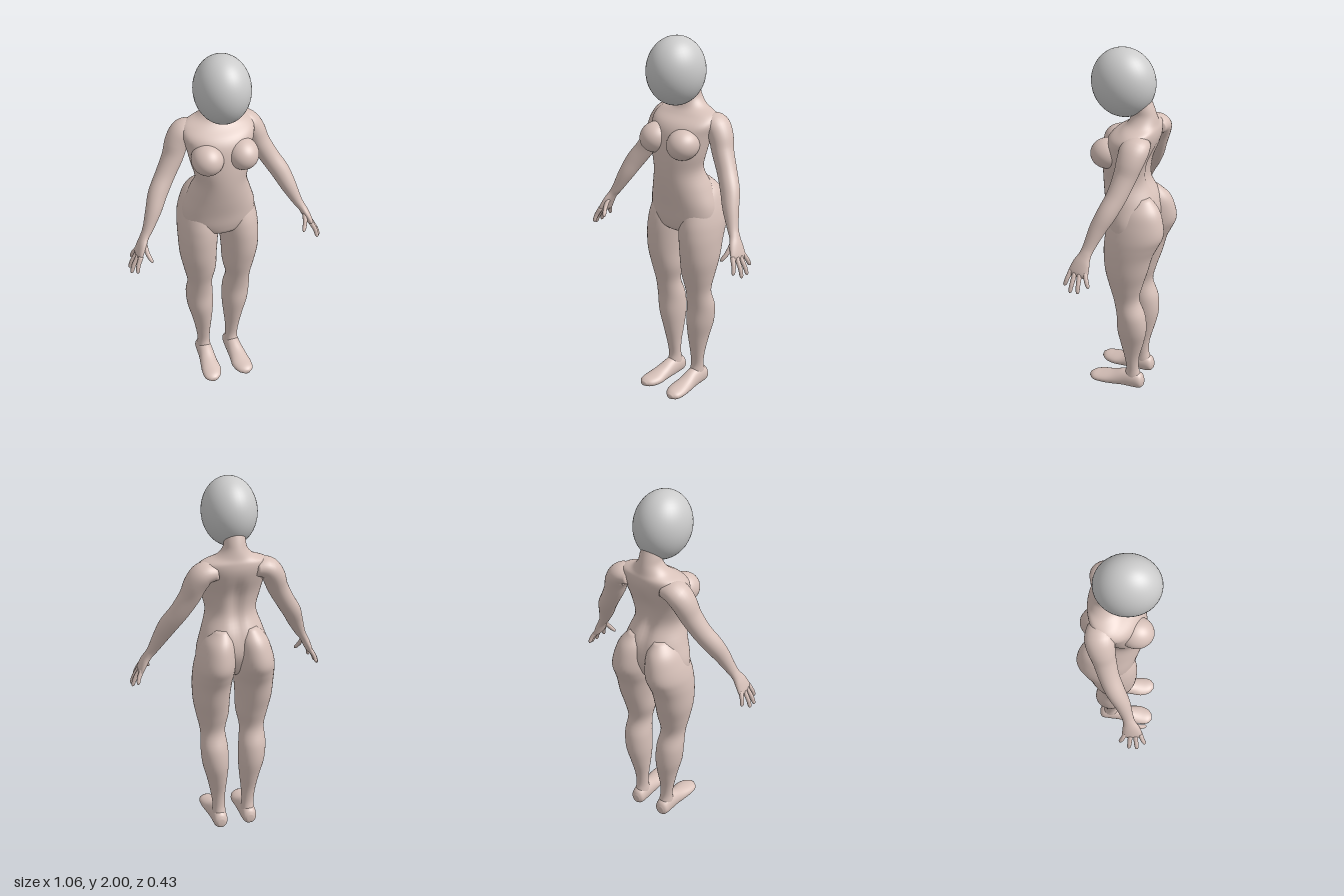
import * as THREE from 'three';

const skin = new THREE.MeshStandardMaterial({ color: 0xd8c2ba });
const grey = new THREE.MeshStandardMaterial({ color: 0xcccccc });
const X = new THREE.Vector3(1, 0, 0), Y = new THREE.Vector3(0, 1, 0), Z = new THREE.Vector3(0, 0, 1);

// Smooth closed loft through rows of [x, y, z, radiusA, radiusB].
// axes: fixed ring axes [a, b]; when absent the rings stay square to the path.
function loft(name, rows, { axes, sides = 32, sub = 5, shape } = {}) {
  const path = new THREE.CatmullRomCurve3(rows.map(r => new THREE.Vector3(r[0], r[1], r[2])), false, 'catmullrom');
  const radii = new THREE.CatmullRomCurve3(rows.map(r => new THREE.Vector3(r[3], r[4], 0)), false, 'catmullrom');
  const rings = (rows.length - 1) * sub;
  const pos = [], idx = [];
  for (let i = 0; i <= rings; i++) {
    const c = path.getPoint(i / rings), r = radii.getPoint(i / rings);
    let a, b;
    if (axes) [a, b] = axes;
    else {
      const t = path.getTangent(i / rings);
      b = Z.clone().addScaledVector(t, -Z.dot(t)).normalize();
      a = b.clone().cross(t);
    }
    for (let j = 0; j < sides; j++) {
      const th = j / sides * Math.PI * 2;
      const p = c.clone().addScaledVector(a, r.x * Math.cos(th)).addScaledVector(b, r.y * Math.sin(th));
      if (shape) shape(p);
      pos.push(p.x, p.y, p.z);
      if (i < rings) {
        const k = (j + 1) % sides, o = i * sides;
        idx.push(o + j, o + k, o + sides + k, o + j, o + sides + k, o + sides + j);
      }
    }
  }
  // end caps
  const n = pos.length / 3, last = rings * sides;
  for (const u of [0, 1]) {
    const p = path.getPoint(u);
    if (shape) shape(p);
    pos.push(p.x, p.y, p.z);
  }
  for (let j = 0; j < sides; j++) {
    const k = (j + 1) % sides;
    idx.push(n, k, j, n + 1, last + j, last + k);
  }
  const g = new THREE.BufferGeometry();
  g.setAttribute('position', new THREE.Float32BufferAttribute(pos, 3));
  g.setIndex(idx);
  g.computeVertexNormals();
  const m = new THREE.Mesh(g, skin);
  m.name = name;
  return m;
}

// Horizontal section from its extents: [y, xInner, xOuter, zBack, zFront]
const section = s => ([y, x0, x1, z0, z1]) => [s * (x0 + x1) / 2, y, (z0 + z1) / 2, (x1 - x0) / 2, (z1 - z0) / 2];

function ellipsoid(name, mat, radii, at, tilt) {
  const m = new THREE.Mesh(new THREE.SphereGeometry(1, 40, 28), mat);
  m.name = name;
  m.scale.set(...radii);
  m.position.set(...at);
  m.rotation.x = tilt;
  return m;
}

export function createModel() {
  const model = new THREE.Group();
  model.name = 'figure';

  model.add(ellipsoid('head', grey, [0.143, 0.178, 0.166], [0, 1.822, 0.045], 0.12));

  // neck and torso, [y, half width, zBack, zFront]
  const torso = [
    [1.77, 0.05, -0.09, 0.02], [1.71, 0.055, -0.115, 0.0], [1.665, 0.063, -0.13, 0.0],
    [1.625, 0.1, -0.14, 0.015], [1.595, 0.17, -0.148, 0.045], [1.555, 0.19, -0.148, 0.1],
    [1.5, 0.178, -0.135, 0.13], [1.4, 0.158, -0.102, 0.147], [1.3, 0.136, -0.1, 0.15],
    [1.2, 0.165, -0.145, 0.14], [1.1, 0.196, -0.155, 0.122], [1.02, 0.19, -0.13, 0.11],
    [0.97, 0.13, -0.1, 0.09], [0.935, 0.05, -0.05, 0.03],
  ].map(([y, w, zb, zf]) => section(1)([y, -w, w, zb, zf]));
  model.add(loft('torso', torso, {
    axes: [X, Z], sides: 48,
    // spine groove
    shape: p => {
      if (p.z < -0.04) p.z += 0.02 * Math.exp(-((p.x / 0.035) ** 2)) * Math.exp(-(((p.y - 1.33) / 0.17) ** 4));
    },
  }));

  for (const s of [1, -1]) {
    const side = s > 0 ? 'left' : 'right';
    const mirror = rows => rows.map(([x, ...rest]) => [s * x, ...rest]);
    const limb = (name, rows, opt) => model.add(loft(side + name, mirror(rows), opt));

    model.add(ellipsoid(side + 'Breast', skin, [0.083, 0.08, 0.092], [s * 0.093, 1.463, 0.096], 0.15));

    // buttock, thigh and calf
    const leg = [
      [1.23, 0.04, 0.11, -0.125, -0.03], [1.17, 0.012, 0.165, -0.18, 0.03], [1.1, 0.002, 0.195, -0.205, 0.075],
      [1.03, 0.001, 0.213, -0.211, 0.1], [0.97, 0.002, 0.22, -0.187, 0.11], [0.9, 0.01, 0.222, -0.156, 0.112],
      [0.8, 0.018, 0.218, -0.13, 0.105], [0.7, 0.022, 0.2, -0.1, 0.085], [0.6, 0.042, 0.18, -0.08, 0.06],
      [0.5, 0.033, 0.184, -0.113, 0.045], [0.4, 0.03, 0.175, -0.12, 0.045], [0.3, 0.037, 0.15, -0.1, 0.03],
      [0.2, 0.047, 0.13, -0.075, 0.01], [0.12, 0.05, 0.12, -0.07, 0.0], [0.06, 0.046, 0.122, -0.085, 0.015],
      [0.02, 0.052, 0.116, -0.085, 0.01],
    ].map(section(s));
    model.add(loft(side + 'Leg', leg, { axes: [X, Z], sides: 40 }));

    // foot with a flat sole, heel to toe
    limb('Foot', [
      [0.085, 0.03, -0.102, 0.018, 0.022], [0.085, 0.035, -0.085, 0.038, 0.045], [0.085, 0.04, -0.04, 0.043, 0.06],
      [0.086, 0.035, 0.02, 0.045, 0.055], [0.09, 0.025, 0.08, 0.05, 0.042], [0.092, 0.02, 0.14, 0.056, 0.032],
      [0.098, 0.018, 0.19, 0.045, 0.024], [0.1, 0.017, 0.216, 0.018, 0.012],
    ], { axes: [X, Y], shape: p => { p.y = Math.max(p.y, 0); } });

    // shoulder, arm and palm
    limb('Arm', [
      [0.1, 1.553, -0.08, 0.042, 0.06], [0.165, 1.545, -0.077, 0.058, 0.075], [0.205, 1.495, -0.067, 0.06, 0.07],
      [0.235, 1.42, -0.05, 0.055, 0.06], [0.285, 1.33, -0.025, 0.051, 0.053], [0.335, 1.25, 0.01, 0.05, 0.05],
      [0.37, 1.175, 0.045, 0.042, 0.043], [0.41, 1.09, 0.075, 0.028, 0.032], [0.434, 1.05, 0.088, 0.022, 0.032],
      [0.455, 1.01, 0.1, 0.021, 0.045], [0.475, 0.965, 0.109, 0.017, 0.053], [0.484, 0.945, 0.112, 0.008, 0.042],
    ]);

    // fingers: base to tip
    const digits = [
      [[0.472, 0.97, 0.15], [0.5, 0.888, 0.178]], [[0.48, 0.962, 0.126], [0.525, 0.866, 0.138]],
      [[0.48, 0.962, 0.1], [0.525, 0.87, 0.095]], [[0.472, 0.972, 0.074], [0.502, 0.9, 0.045]],
      [[0.443, 1.02, 0.12], [0.418, 0.94, 0.178]],
    ];
    digits.forEach(([b, t], i) => {
      const rows = [[0, 0.013], [0.5, 0.0115], [0.88, 0.0095], [1, 0.003]].map(([u, r]) => [
        ...b.map((v, k) => v + (t[k] - v) * u + (k === 0 ? 0.006 * Math.sin(u * Math.PI) : 0)), r, r]);
      limb(i < 4 ? 'Finger' + (i + 1) : 'Thumb', rows, { sides: 12, sub: 4 });
    });
  }
  return model;
}
